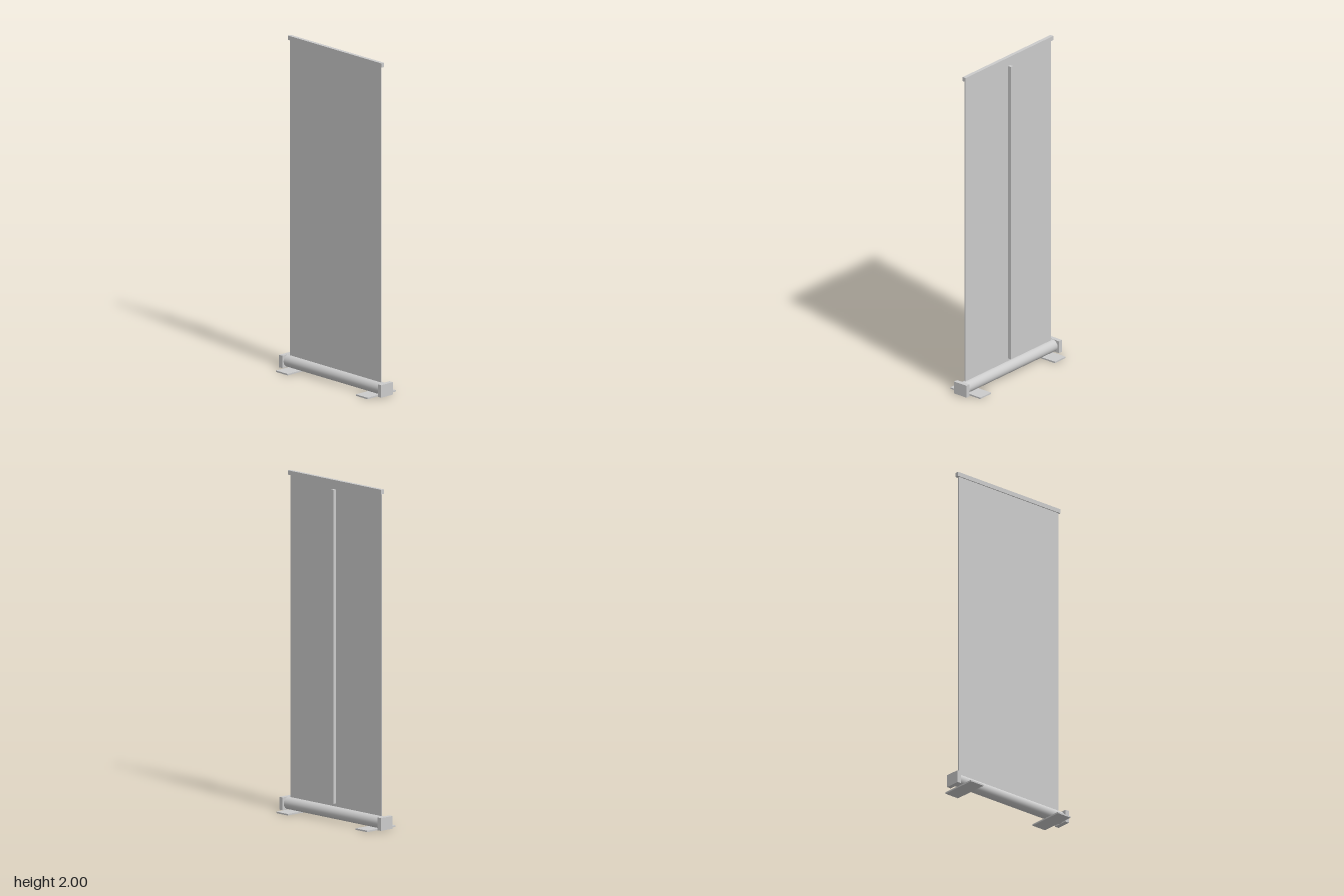
import * as THREE from 'three';

export function createModel() {
  const model = new THREE.Group();
  model.name = 'rollUpBanner';
  const grey = new THREE.MeshStandardMaterial({ color: 0xcccccc });
  grey.name = 'light grey';

  const add = (name, geometry, x, y, z) => {
    const mesh = new THREE.Mesh(geometry, grey);
    mesh.name = name;
    mesh.position.set(x, y, z);
    model.add(mesh);
    return mesh;
  };
  const box = (name, w, h, d, x, y, z) => add(name, new THREE.BoxGeometry(w, h, d), x, y, z);

  // Roller housing lying along x
  const housing = new THREE.CylinderGeometry(0.0365, 0.0365, 0.8, 32).rotateZ(Math.PI / 2);
  add('rollerHousing', housing, 0, 0.043, 0);

  // End caps and flat feet, mirrored
  for (const [side, s] of [['left', 1], ['right', -1]]) {
    box(side + 'EndCap', 0.027, 0.075, 0.093, s * 0.4115, 0.0425, 0);
    box(side + 'Foot', 0.096, 0.009, 0.226, s * 0.332, 0.0045, 0);
  }

  // Banner sheet, the rail that holds its top edge, and the pole behind
  box('bannerSheet', 0.76, 1.92, 0.006, 0, 1.03, 0.002);
  box('topRail', 0.78, 0.026, 0.022, 0, 1.987, 0);
  box('supportPole', 0.02, 1.845, 0.022, 0, 1.0225, -0.019);

  return model;
}
